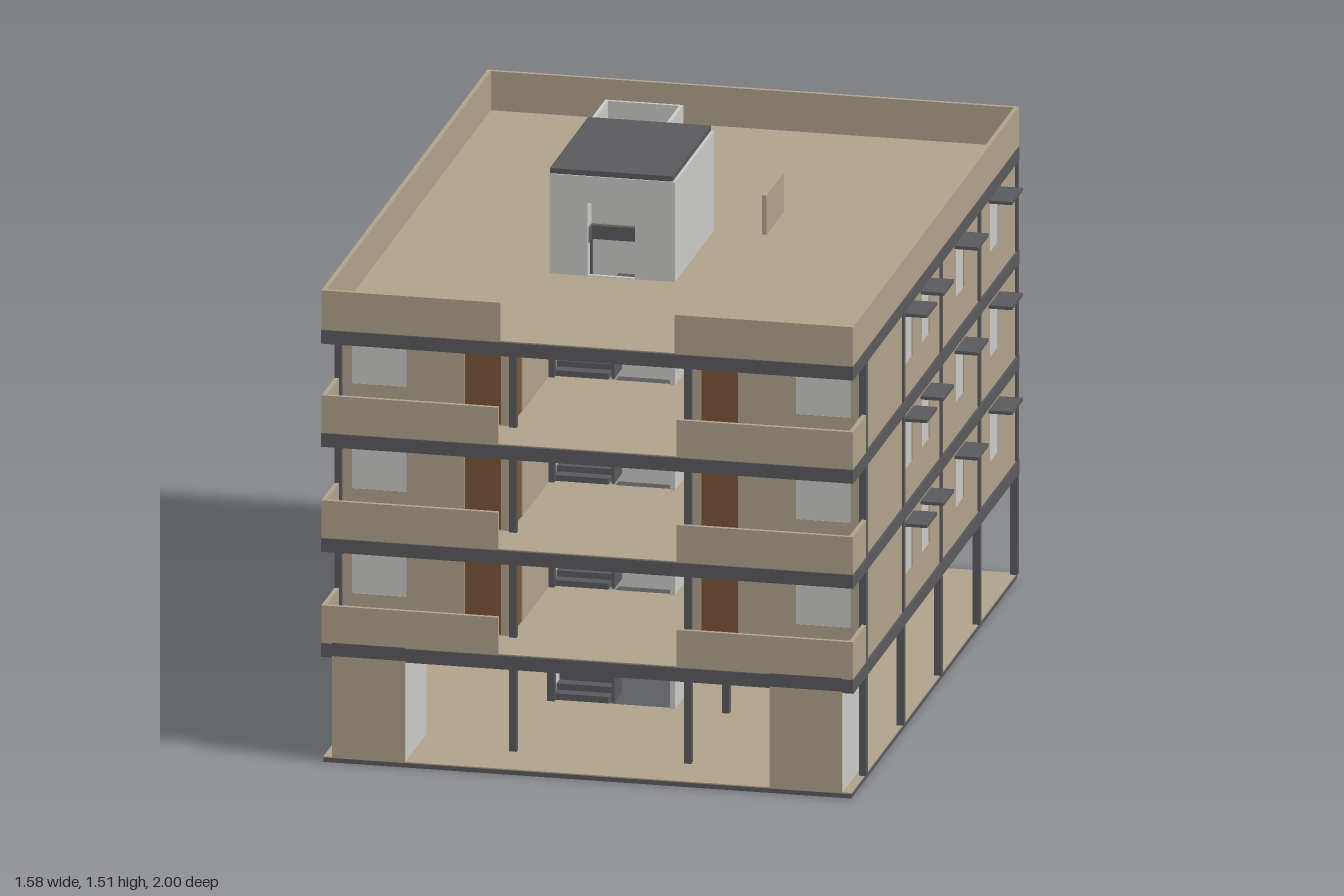
import * as THREE from 'three';

const mat = (name, color) => {
  const m = new THREE.MeshStandardMaterial({ color });
  m.name = name;
  return m;
};
const beige = mat('beige render', 0xb0a28c);
const dark = mat('dark concrete', 0x5a5a5d);
const grey = mat('light grey plaster', 0xc9c9c7);
const brown = mat('brown wood', 0x7a5537);

const LEVELS = [0.335, 0.63, 0.925, 1.215]; // tops of the upper slabs
const GROUND = 0.015;
const COLUMN_X = [-0.72, -0.24, 0.24, 0.72];
const COLUMN_Z = [0.83, 0.375, -0.075, -0.535, -0.985];
const BEAM = 0.04;

// Box given by its minimum and maximum on each axis
function box(parent, name, material, x0, x1, y0, y1, z0, z1) {
  const mesh = new THREE.Mesh(new THREE.BoxGeometry(x1 - x0, y1 - y0, z1 - z0), material);
  mesh.position.set((x0 + x1) / 2, (y0 + y1) / 2, (z0 + z1) / 2);
  mesh.name = name;
  parent.add(mesh);
  return mesh;
}

const rect = (C, x0, x1, y0, y1) => {
  const p = new C();
  p.moveTo(x0, y0);
  p.lineTo(x1, y0);
  p.lineTo(x1, y1);
  p.lineTo(x0, y1);
  p.closePath();
  return p;
};

// Upright wall along local x, with rectangular holes [u0, u1, y0, y1]
function panel(name, material, u0, u1, y0, y1, holes = [], t = 0.012) {
  const shape = rect(THREE.Shape, u0, u1, y0, y1);
  holes.forEach((h) => shape.holes.push(rect(THREE.Path, ...h)));
  const geo = new THREE.ExtrudeGeometry(shape, { depth: t, bevelEnabled: false });
  geo.translate(0, 0, -t / 2);
  const mesh = new THREE.Mesh(geo, material);
  mesh.name = name;
  return mesh;
}

// Wall with windows and doors; out is the local z sign of the outside
function facade(name, u0, u1, y0, y1, windows, doors, out) {
  const g = new THREE.Group();
  g.name = name;
  const win = windows.map(([a, b]) => [a, b, y0 + 0.09, y0 + 0.23]);
  const door = doors.map(([a, b]) => [a, b, y0 + 0.002, y0 + 0.205]);
  g.add(panel('wall', beige, u0, u1, y0, y1, [...win, ...door]));
  for (const [a, b, c, d] of win) {
    box(g, 'windowPane', grey, a, b, c, d, -0.004, 0.004);
    const z = [out * 0.004, out * 0.07].sort((p, q) => p - q);
    box(g, 'windowAwning', dark, a - 0.017, b + 0.017, d + 0.002, d + 0.011, ...z);
  }
  for (const [a, b, c, d] of door) box(g, 'door', brown, a, b, c, d, -0.004, 0.004);
  return g;
}

// Turns a wall so that its local x runs along world z
function alongZ(parent, wall, x) {
  wall.rotation.y = -Math.PI / 2;
  wall.position.x = x;
  parent.add(wall);
}

// Floor plate with the stairwell and lift openings
function slab(parent, name, material, y0, y1, zBack, zFront) {
  const shape = rect(THREE.Shape, -0.725, 0.725, -zFront, -zBack);
  shape.holes.push(rect(THREE.Path, -0.235, 0.085, -0.37, 0.08));
  shape.holes.push(rect(THREE.Path, -0.235, -0.04, 0.09, 0.28));
  const geo = new THREE.ExtrudeGeometry(shape, { depth: y1 - y0, bevelEnabled: false });
  geo.rotateX(-Math.PI / 2);
  const mesh = new THREE.Mesh(geo, material);
  mesh.position.y = y0;
  mesh.name = name;
  parent.add(mesh);
}

function buildFrame(g) {
  slab(g, 'groundSlab', dark, 0, GROUND - 0.003, -0.995, 0.995);
  slab(g, 'groundFloorFinish', beige, GROUND - 0.003, GROUND, -0.993, 0.993);
  for (const x of COLUMN_X)
    for (const z of COLUMN_Z)
      box(g, 'column', dark, x - 0.01, x + 0.01, GROUND, 1.2, z - 0.01, z + 0.01);
  for (const L of LEVELS) {
    slab(g, 'floorSlab', dark, L - 0.018, L - 0.003, -0.99, 0.99);
    slab(g, 'floorFinish', beige, L - 0.003, L, -0.988, 0.988);
    const b = L - BEAM, t = L - 0.002;
    for (const x of COLUMN_X) box(g, 'longBeam', dark, x - 0.011, x + 0.011, b, t, -0.996, 0.994);
    for (const z of [...COLUMN_Z, 0.985])
      box(g, 'crossBeam', dark, -0.73, 0.73, b, t, z - 0.011, z + 0.011);
  }
}

function buildStorey(g, L, top) {
  for (const s of [-1, 1]) {
    const span = (a, b) => (s > 0 ? [a, b] : [-b, -a]);
    // front wall behind the balcony
    const front = facade('frontWall', ...span(0.245, 0.72), L, top, [span(0.535, 0.685)], [span(0.275, 0.375)], 1);
    front.position.z = 0.822;
    g.add(front);
    // side wall
    const windows = s > 0
      ? [[0.26, 0.345], [0.055, 0.145], [-0.36, -0.265], [-0.77, -0.675]]
      : [[0.09, 0.34], [-0.69, -0.55]];
    alongZ(g, facade('sideWall', -0.985, 0.825, L, top, windows, [], -s), s * 0.718);
    // rear wall, entrance recess and corridor wall
    const rear = panel('rearWall', beige, ...span(0.36, 0.72), L, top);
    rear.position.z = -0.985;
    g.add(rear);
    const recess = s > 0
      ? facade('recessWall', -0.98, -0.53, L, top, [], [[-0.96, -0.87], [-0.75, -0.66]], 1)
      : facade('recessWall', -0.98, -0.53, L, top, [[-0.83, -0.69]], [[-0.96, -0.87]], -1);
    alongZ(g, recess, s * 0.365);
    const back = panel('recessReturn', beige, ...span(0.25, 0.365), L, top);
    back.position.z = -0.535;
    g.add(back);
    alongZ(g, facade('corridorWall', -0.53, 0.82, L, top, [], [[0.7, 0.8]], s), s * 0.252);
    // balcony parapet
    box(g, 'balconyFront', beige, ...span(0.245, 0.73), L, L + 0.105, 0.985, 0.997);
    box(g, 'balconySide', beige, ...span(0.718, 0.73), L, L + 0.105, 0.83, 0.985);
  }
}

function buildCore(g) {
  const roof = LEVELS[3];
  // stair enclosure
  box(g, 'coreLeftWall', grey, -0.245, -0.235, GROUND, 1.495, -0.29, 0.38);
  box(g, 'stairRightWall', grey, 0.086, 0.1, GROUND, 1.495, -0.09, 0.38);
  box(g, 'stairBackWall', grey, -0.235, 0.086, GROUND, 1.495, -0.09, -0.08);
  const door = panel('stairHeadFront', grey, -0.235, 0.086, roof, 1.495, [[-0.14, -0.01, roof + 0.002, 1.42]]);
  door.position.z = 0.373;
  g.add(door);
  box(g, 'stairHeadRoof', dark, -0.245, 0.092, 1.495, 1.51, -0.085, 0.375);
  // lift shaft, open at the top
  box(g, 'shaftBackWall', grey, -0.235, -0.03, GROUND, 1.495, -0.29, -0.28);
  box(g, 'shaftRightWall', grey, -0.04, -0.03, GROUND, 1.495, -0.28, -0.09);
  for (const y of [GROUND, ...LEVELS])
    box(g, 'liftDoor', brown, -0.03, -0.025, y, y + 0.205, -0.22, -0.14);
  // two flights with a half landing on every storey
  const floors = [GROUND, ...LEVELS];
  const n = 9, z0 = 0.37, run = 0.034;
  for (let i = 0; i < 4; i++) {
    const y = floors[i], half = (floors[i + 1] - y) / 2, rise = half / n;
    for (let k = 0; k < n; k++) {
      const zl = z0 - k * run, yl = y + k * rise;
      box(g, 'stairStep', dark, -0.235, -0.085, Math.max(y, yl - rise), yl + rise, zl - run, zl);
      const zr = z0 - (n - k) * run, yr = y + half + k * rise;
      box(g, 'stairStep', dark, -0.065, 0.085, yr - rise, yr + rise, zr, zr + run);
    }
    box(g, 'stairLanding', dark, -0.235, 0.085, y + half - 0.016, y + half, -0.08, z0 - n * run);
    box(g, 'stairSpine', dark, -0.079, -0.071, y, y + 0.1, 0.27, 0.36);
  }
}

function buildRoof(g) {
  const y = LEVELS[3], t = 1.325;
  for (const s of [-1, 1]) {
    const span = (a, b) => (s > 0 ? [a, b] : [-b, -a]);
    box(g, 'roofParapetSide', beige, ...span(0.718, 0.73), y, t, -0.985, 0.985);
    box(g, 'roofParapetFront', beige, ...span(0.24, 0.73), y, t, 0.985, 0.997);
  }
  box(g, 'roofParapetBack', beige, -0.73, 0.73, y, t, -0.997, -0.985);
  box(g, 'roofUpstand', beige, 0.234, 0.246, y, t, -0.29, -0.08);
}

function buildGroundRooms(g) {
  for (const s of [-1, 1]) {
    const span = (a, b) => (s > 0 ? [a, b] : [-b, -a]);
    box(g, 'storeRoom', grey, ...span(0.5, 0.7), GROUND, 0.31, 0.74, 0.99);
    box(g, 'storeRoomFront', beige, ...span(0.5, 0.7), GROUND, 0.3, 0.99, 0.997);
    box(g, 'storeRoomLintel', dark, ...span(0.5, 0.7), 0.3, 0.337, 0.84, 0.999);
  }
}

export function createModel() {
  const model = new THREE.Group();
  model.name = 'apartmentBuilding';
  const part = (name, build) => {
    const g = new THREE.Group();
    g.name = name;
    build(g);
    model.add(g);
  };
  part('concreteFrame', buildFrame);
  for (let i = 0; i < 3; i++)
    part('storey' + (i + 1), (g) => buildStorey(g, LEVELS[i], LEVELS[i + 1] - 0.016));
  part('stairAndLiftCore', buildCore);
  part('roofParapets', buildRoof);
  part('groundRooms', buildGroundRooms);
  return model;
}
